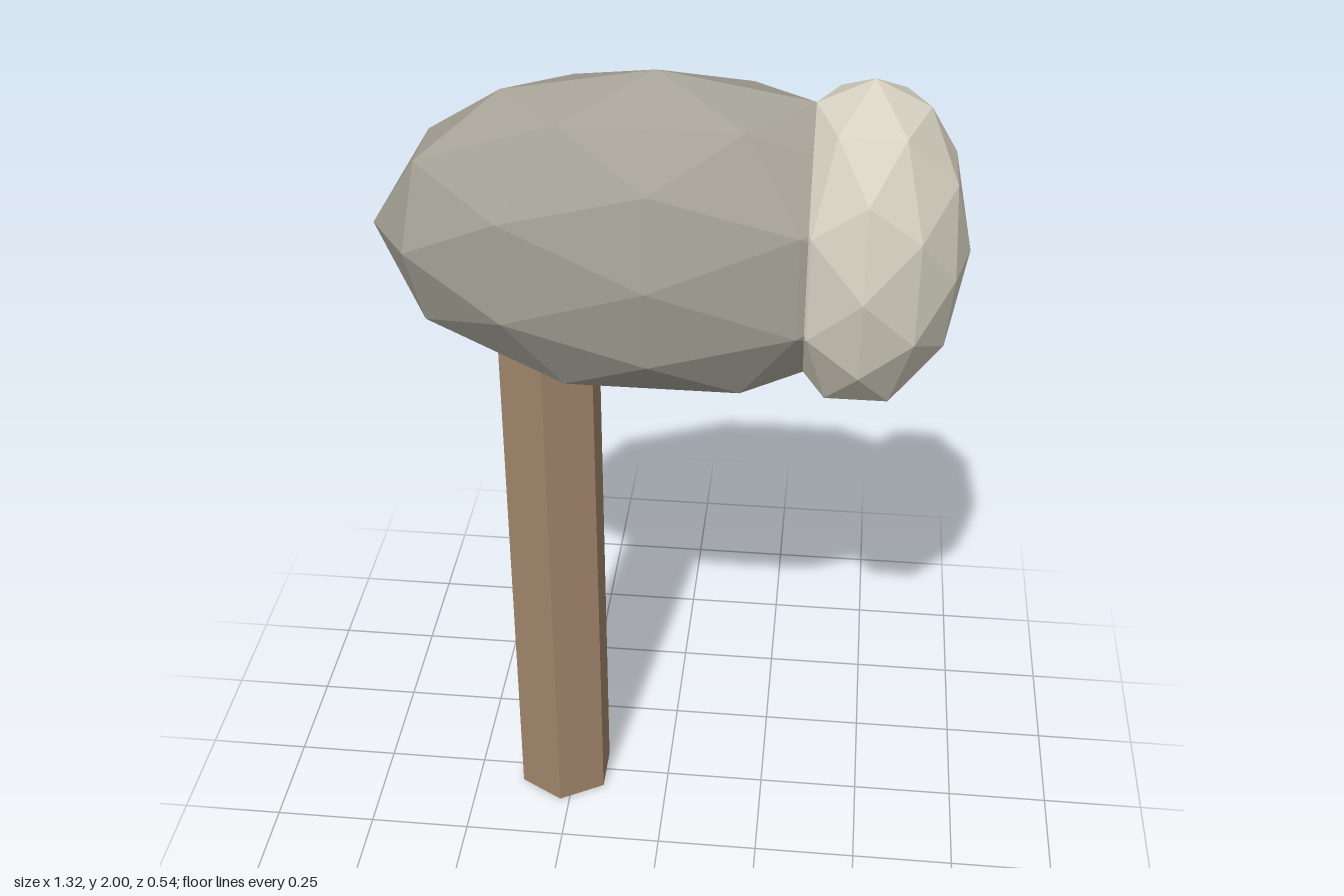
import * as THREE from 'three';

const material = (name, color) => {
  const m = new THREE.MeshStandardMaterial({ color, flatShading: true });
  m.name = name;
  return m;
};

export function createModel() {
  const group = new THREE.Group();
  group.name = 'mallet';
  const stone = material('grey stone', 0xa5a196);
  const paleStone = material('pale stone', 0xd6d1c1);
  const wood = material('brown wood', 0xa0856b);

  const add = (name, geometry, mat, x, y) => {
    const mesh = new THREE.Mesh(geometry, mat);
    mesh.name = name;
    mesh.position.set(x, y, 0);
    group.add(mesh);
  };
  // faceted stone: a once-divided icosahedron stretched along each axis
  const boulder = (rx, ry, rz) => new THREE.IcosahedronGeometry(1, 1).scale(rx, ry, rz);

  // long head and the pale striking face at its end
  add('head', boulder(0.635, 0.385, 0.27), stone, -0.023, 1.615);
  add('strikingFace', boulder(0.227, 0.385, 0.27), paleStone, 0.43, 1.615);

  // six-sided handle, with its top sunk into the head
  const height = 1.5;
  add('handle', new THREE.CylinderGeometry(0.124, 0.124, height, 6), wood, -0.274, height / 2);

  return group;
}
